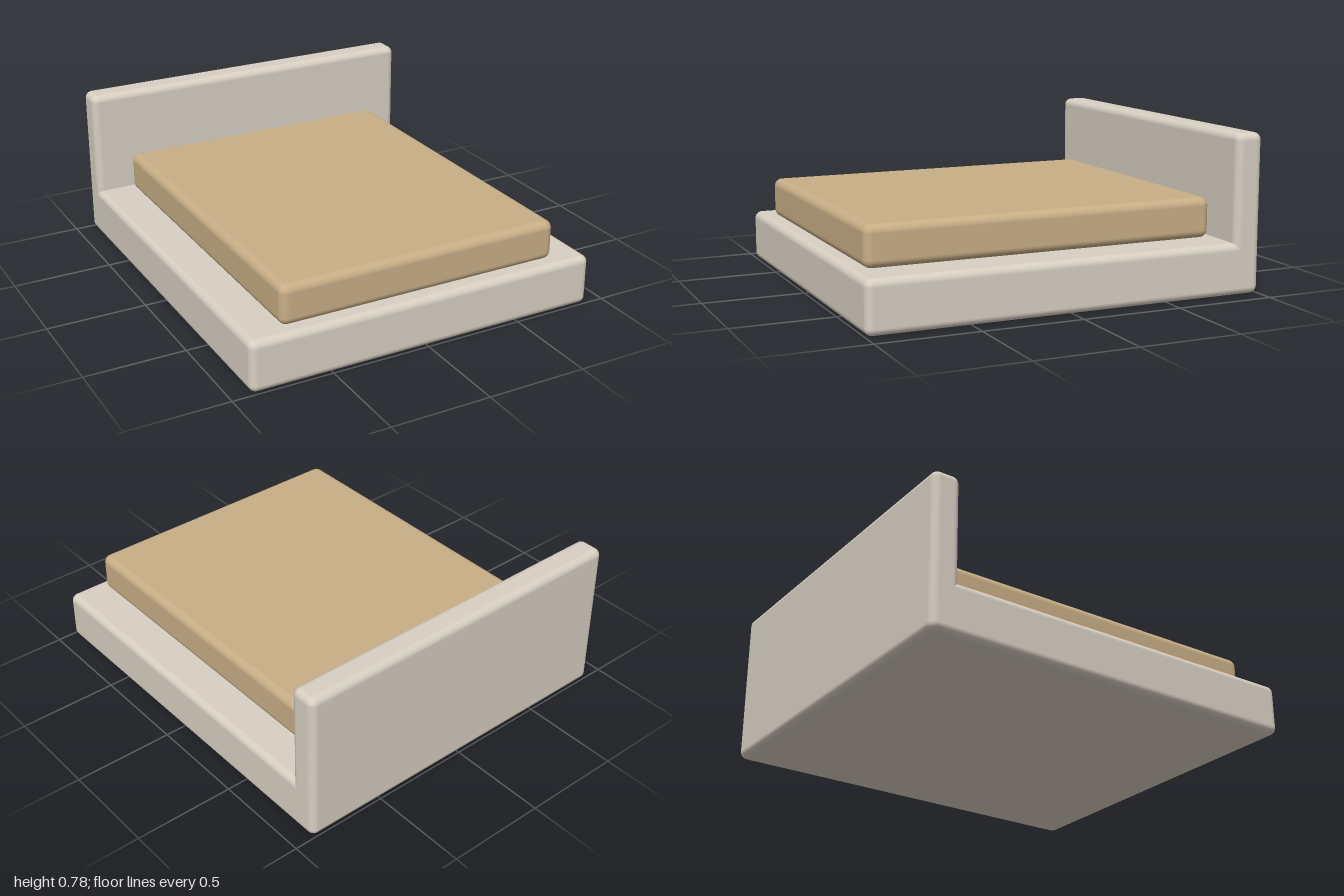
import * as THREE from 'three';
import { RoundedBoxGeometry } from 'three/addons/geometries/RoundedBoxGeometry.js';

export function createModel() {
  const bed = new THREE.Group();
  bed.name = 'bed';

  const upholstery = new THREE.MeshStandardMaterial({ color: 0xd8cfc2 });
  upholstery.name = 'pale upholstery';
  const fabric = new THREE.MeshStandardMaterial({ color: 0xc8ae86 });
  fabric.name = 'tan fabric';

  // Rounded block given by its lower and upper corners
  function block(name, material, [x0, y0, z0], [x1, y1, z1], radius) {
    const geometry = new RoundedBoxGeometry(x1 - x0, y1 - y0, z1 - z0, 5, radius);
    const mesh = new THREE.Mesh(geometry, material);
    mesh.name = name;
    mesh.position.set((x0 + x1) / 2, (y0 + y1) / 2, (z0 + z1) / 2);
    bed.add(mesh);
  }

  // Wide platform, with the headboard sunk into its rear edge
  block('base', upholstery, [-0.907, 0, -1], [0.907, 0.255, 1], 0.036);
  block('headboard', upholstery, [-0.907, 0.1, -1], [0.907, 0.783, -0.86], 0.036);

  // Mattress resting on the platform
  block('mattress', fabric, [-0.727, 0.255, -0.83], [0.727, 0.455, 0.94], 0.04);

  return bed;
}
